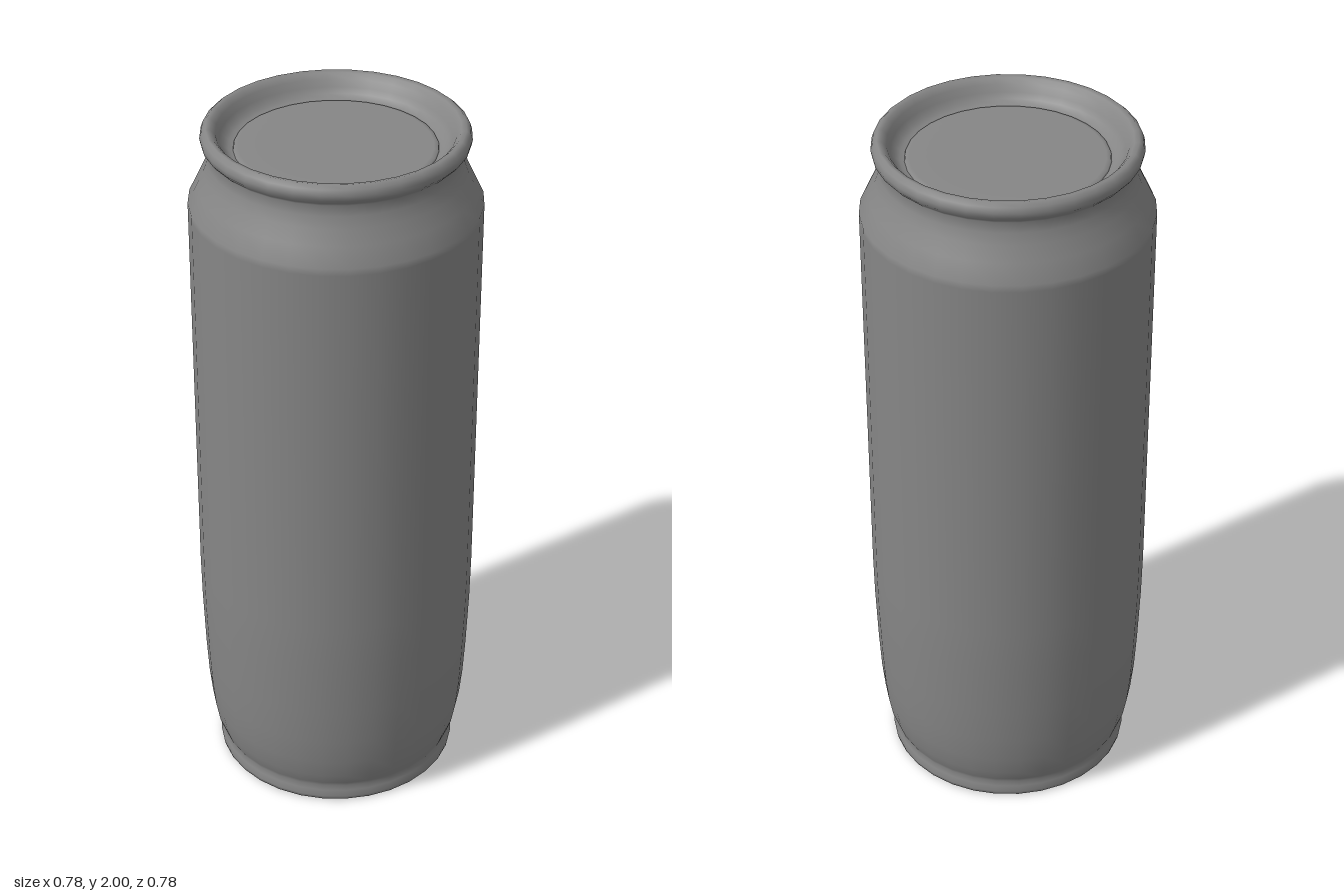
import * as THREE from 'three';

const SIDES = 32;
const material = new THREE.MeshStandardMaterial({ color: 0x868686, side: THREE.DoubleSide });

// Each profile is a list of [radius, height], turned into a smooth surface.
function turned(name, profile) {
  const points = profile.map(([r, y]) => new THREE.Vector2(r, y));
  const mesh = new THREE.Mesh(new THREE.LatheGeometry(points, SIDES), material);
  mesh.name = name;
  return mesh;
}

export function createModel() {
  const can = new THREE.Group();
  can.name = 'drinkCan';

  can.add(
    // Concave underside
    turned('bottomDome', [
      [0, 0.11], [0.1, 0.105], [0.2, 0.09], [0.26, 0.07], [0.295, 0.048], [0.318, 0.024], [0.334, 0],
    ]),
    // Continuous outer shell
    turned('body', [
      // foot ring
      [0.334, 0], [0.344, 0.004], [0.346, 0.015], [0.343, 0.035], [0.338, 0.05],
      // side wall
      [0.345, 0.065], [0.357, 0.1], [0.368, 0.16], [0.376, 0.24],
      [0.382, 0.35], [0.388, 0.52], [0.39, 0.65], [0.39, 1.77], [0.39, 1.79],
      // shoulder and neck
      [0.366, 1.84], [0.347, 1.88], [0.336, 1.91], [0.331, 1.938],
      // rolled rim
      [0.341, 1.948], [0.351, 1.96], [0.354, 1.975], [0.349, 1.99], [0.338, 2],
      // slope down to the lid
      [0.325, 1.997], [0.313, 1.984], [0.303, 1.965], [0.293, 1.95], [0.28, 1.941], [0.268, 1.938],
    ]),
    // Slightly raised lid panel
    turned('lid', [[0.268, 1.938], [0.266, 1.943], [0.255, 1.945], [0.2, 1.945], [0, 1.945]]),
  );
  return can;
}
